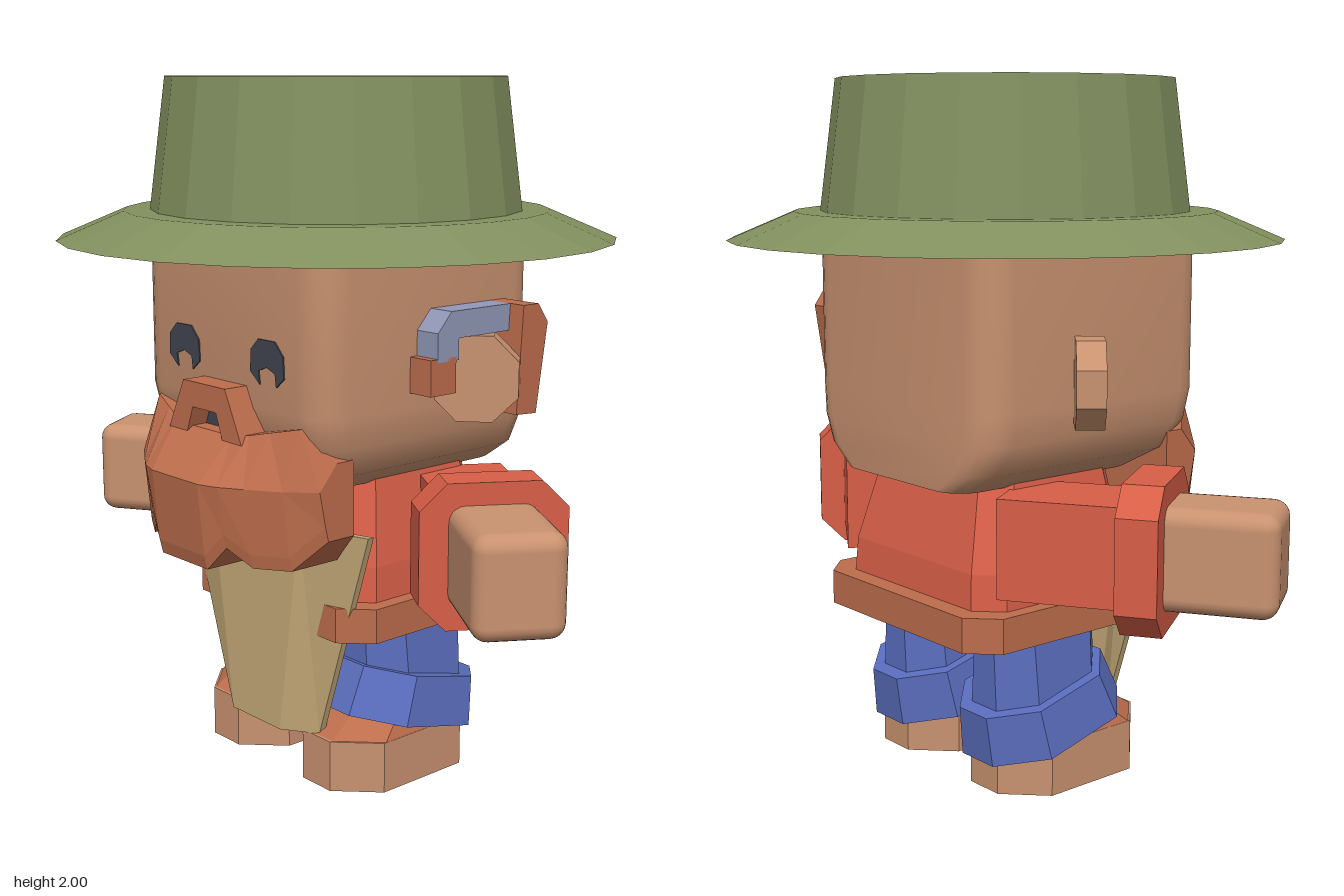
import * as THREE from 'three';
import { toCreasedNormals } from 'three/addons/utils/BufferGeometryUtils.js';
import { RoundedBoxGeometry } from 'three/addons/geometries/RoundedBoxGeometry.js';

const mat = (name, color) => {
  const m = new THREE.MeshStandardMaterial({ color });
  m.name = name;
  return m;
};

// Flat-faced copy of a geometry
function flat(geo) {
  const g = geo.index ? geo.toNonIndexed() : geo;
  g.computeVertexNormals();
  return g;
}

// Skin between equal-length rings of [x, y, z] points, capped at both ends
function loft(rings) {
  const tris = [];
  const n = rings[0].length;
  for (let i = 0; i < rings.length - 1; i++) {
    for (let j = 0; j < n; j++) {
      const k = (j + 1) % n;
      const a = rings[i][j], b = rings[i][k], c = rings[i + 1][k], d = rings[i + 1][j];
      tris.push([a, b, c], [a, c, d]);
    }
  }
  const cap = (ring, flip) => {
    const mid = [0, 1, 2].map(q => ring.reduce((sum, p) => sum + p[q], 0) / n);
    for (let j = 0; j < n; j++) {
      const a = ring[j], b = ring[(j + 1) % n];
      tris.push(flip ? [mid, b, a] : [mid, a, b]);
    }
  };
  cap(rings[0], true);
  cap(rings[rings.length - 1], false);
  // Turn all faces outward
  let volume = 0;
  for (const [a, b, c] of tris) {
    volume += new THREE.Vector3(...a).dot(new THREE.Vector3(...b).cross(new THREE.Vector3(...c)));
  }
  if (volume < 0) tris.forEach(t => t.reverse());
  const g = new THREE.BufferGeometry();
  g.setAttribute('position', new THREE.Float32BufferAttribute(tris.flat(2), 3));
  g.computeVertexNormals();
  return g;
}

// Horizontal rectangle ring with corners cut (steps = 1) or rounded
function rectRing(y, x0, x1, z0, z1, r, steps = 1) {
  const corners = [[x1 - r, z1 - r], [x0 + r, z1 - r], [x0 + r, z0 + r], [x1 - r, z0 + r]];
  const ring = [];
  corners.forEach(([cx, cz], q) => {
    for (let s = 0; s <= steps; s++) {
      const a = (q + s / steps) * Math.PI / 2;
      ring.push([cx + r * Math.cos(a), y, cz + r * Math.sin(a)]);
    }
  });
  return ring;
}

const shapeOf = pts => new THREE.Shape(pts.map(p => new THREE.Vector2(...p)));
const extrude = (pts, depth) =>
  flat(new THREE.ExtrudeGeometry(shapeOf(pts), { depth, bevelEnabled: false }));
// Side profile given as [z, y], extruded from x0 to x1
const sideExtrude = (pts, x0, x1) =>
  extrude(pts.map(([z, y]) => [-z, y]), x1 - x0).rotateY(Math.PI / 2).translate(x0, 0, 0);

export function createModel() {
  const root = new THREE.Group();
  const skin = mat('skin', 0xc99270);
  const brown = mat('russet brown', 0xbd6d4c);
  const green = mat('hat green', 0x82905f);
  const red = mat('shirt red', 0xd85f48);
  const blue = mat('trouser blue', 0x5a6dbd);
  const tan = mat('apron tan', 0xc5aa78);
  const grey = mat('metal grey', 0x9298b8);
  const dark = mat('dark slate', 0x40444e);

  const add = (name, geo, material, parent = root) => {
    const m = new THREE.Mesh(geo, material);
    m.name = name;
    parent.add(m);
    return m;
  };

  // Hat
  add('hatBrim', flat(new THREE.LatheGeometry(
    [[0, 1.55], [0.8, 1.55], [0.61, 1.63], [0, 1.63]].map(p => new THREE.Vector2(...p)), 24)), green);
  add('hatCrown', flat(new THREE.CylinderGeometry(0.485, 0.535, 0.38, 20)).translate(0, 1.81, 0), green);

  // Head, drawn in towards the chin
  add('head', toCreasedNormals(loft([
    [1.58, 0.41, 0.41, 0.1], [1.12, 0.41, 0.41, 0.1], [1.03, 0.405, 0.39, 0.1],
    [0.95, 0.37, 0.34, 0.1], [0.89, 0.28, 0.27, 0.09],
  ].map(([y, x, zf, r]) => rectRing(y, -x, x, -0.41, zf, r, 5))), 0.8), skin);

  // Eyes and ears
  const eye = [[-0.07, -0.03], [-0.03, -0.062], [-0.035, -0.025], [0, -0.012], [0.035, -0.025],
    [0.04, -0.062], [0.073, -0.035], [0.07, 0.025], [0.035, 0.062], [-0.035, 0.062], [-0.068, 0.03]];
  for (const s of [1, -1]) {
    add('eye', extrude(eye, 0.008).translate(s * 0.187, 1.25, 0.406), dark);
    const ear = add('ear', flat(new THREE.CylinderGeometry(0.13, 0.13, 0.08, 8)
      .rotateY(Math.PI / 8).rotateX(Math.PI / 2)), skin);
    ear.position.set(s * 0.468, 1.19, -0.1);
    ear.rotation.y = s * 0.7;
  }

  // Hearing aid on the left ear
  add('hearingAidHook', sideExtrude([[0.07, 1.25], [0.07, 1.33], [0.02, 1.385], [-0.21, 1.385],
    [-0.21, 1.31], [-0.01, 1.31], [-0.01, 1.25]], 0.4, 0.49), grey);
  add('hearingAidBody', sideExtrude([[-0.19, 1.08], [-0.27, 1.075], [-0.31, 1.33], [-0.27, 1.385],
    [-0.21, 1.385]], 0.4, 0.54), brown);
  add('hearingAidTip', sideExtrude([[0, 1.16], [0.095, 1.16], [0.095, 1.26], [0, 1.26]], 0.4, 0.49), brown);

  // Beard: columns of [x, top y, bottom y, top z, front z]
  const half = [[0.105, 1.045, 0.685, 0.47, 0.59], [0.165, 1.055, 0.755, 0.46, 0.57],
    [0.23, 1.07, 0.705, 0.44, 0.53], [0.32, 1.09, 0.705, 0.41, 0.47], [0.39, 1.0, 0.79, 0.34, 0.4]];
  const columns = [...half.map(([x, ...rest]) => [-x, ...rest]).reverse(), ...half];
  add('beard', loft(columns.map(([x, t, b, zt, zf]) => [
    [x, t, 0.28], [x, t, zt], [x, 0.93, zf], [x, b + 0.04, zf - 0.02], [x, b, zf - 0.03], [x, b, 0.28],
  ])), brown);

  // Moustache arch and mouth
  add('moustache', extrude([[-0.165, 1.03], [-0.095, 1.175], [0.095, 1.175], [0.165, 1.03],
    [0.08, 1.03], [0.053, 1.103], [-0.053, 1.103], [-0.08, 1.03]], 0.105).translate(0, 0, 0.38), brown);
  add('mouth', extrude([[-0.09, 1.03], [0.09, 1.03], [0.055, 1.11], [-0.055, 1.11]], 0.008)
    .translate(0, 0, 0.415), dark);

  // Torso and belt
  add('torso', loft([
    rectRing(0.5, -0.35, 0.35, -0.36, 0.23, 0.07),
    rectRing(0.66, -0.34, 0.34, -0.35, 0.22, 0.07),
    rectRing(0.93, -0.29, 0.29, -0.28, 0.18, 0.07),
  ]), red);
  add('belt', loft([0.46, 0.56].map(y => rectRing(y, -0.39, 0.39, -0.415, 0.275, 0.08))), brown);

  // Apron, folded back at both sides
  add('apron', loft([[-0.415, -0.21, 0.25], [-0.2, -0.11, 0.315], [0.2, 0.11, 0.315], [0.415, 0.21, 0.25]]
    .map(([xt, xb, z]) => [[xt, 0.78, z], [xb, 0.15, z], [xb, 0.15, z - 0.02], [xt, 0.78, z - 0.02]])), tan);

  for (const s of [1, -1]) {
    // Arm, reaching outward and forward
    const arm = new THREE.Group();
    arm.name = s > 0 ? 'leftArm' : 'rightArm';
    arm.position.set(s * 0.62, 0.745, -0.005);
    arm.rotation.y = -s * 0.57;
    root.add(arm);
    add('sleeve', flat(new THREE.BoxGeometry(0.4, 0.28, 0.26)).translate(-s * 0.2, 0, 0), red, arm);
    add('sleeveCuff', loft([-0.057, 0.057].map(y => rectRing(y, -0.205, 0.205, -0.205, 0.205, 0.075)))
      .rotateZ(Math.PI / 2), red, arm);
    add('hand', new RoundedBoxGeometry(0.35, 0.285, 0.25, 3, 0.045).translate(s * 0.18, 0, 0), skin, arm);

    // Leg, slanted trouser cuff and shoe
    const leg = new THREE.Group();
    leg.name = s > 0 ? 'leftLeg' : 'rightLeg';
    leg.position.x = s * 0.213;
    root.add(leg);
    add('trouserLeg', loft([
      rectRing(0.15, -0.15, 0.15, -0.26, 0.115, 0.09),
      rectRing(0.5, -0.12, 0.12, -0.26, 0.115, 0.08),
    ]), blue, leg);
    const cuff = add('trouserCuff', loft([
      rectRing(-0.072, -0.188, 0.188, -0.25, 0.25, 0.12),
      rectRing(0.072, -0.17, 0.17, -0.23, 0.22, 0.11),
    ]), blue, leg);
    cuff.position.set(0, 0.222, -0.06);
    cuff.rotation.x = -0.25;
    add('shoeSole', loft([0, 0.15].map(y => rectRing(y, -0.17, 0.17, -0.26, 0.265, 0.11))), skin, leg);
    add('shoeUpper', loft([
      rectRing(0.148, -0.17, 0.17, -0.26, 0.26, 0.11),
      rectRing(0.215, -0.14, 0.14, -0.25, 0.16, 0.09),
    ]), brown, leg);
  }
  return root;
}
